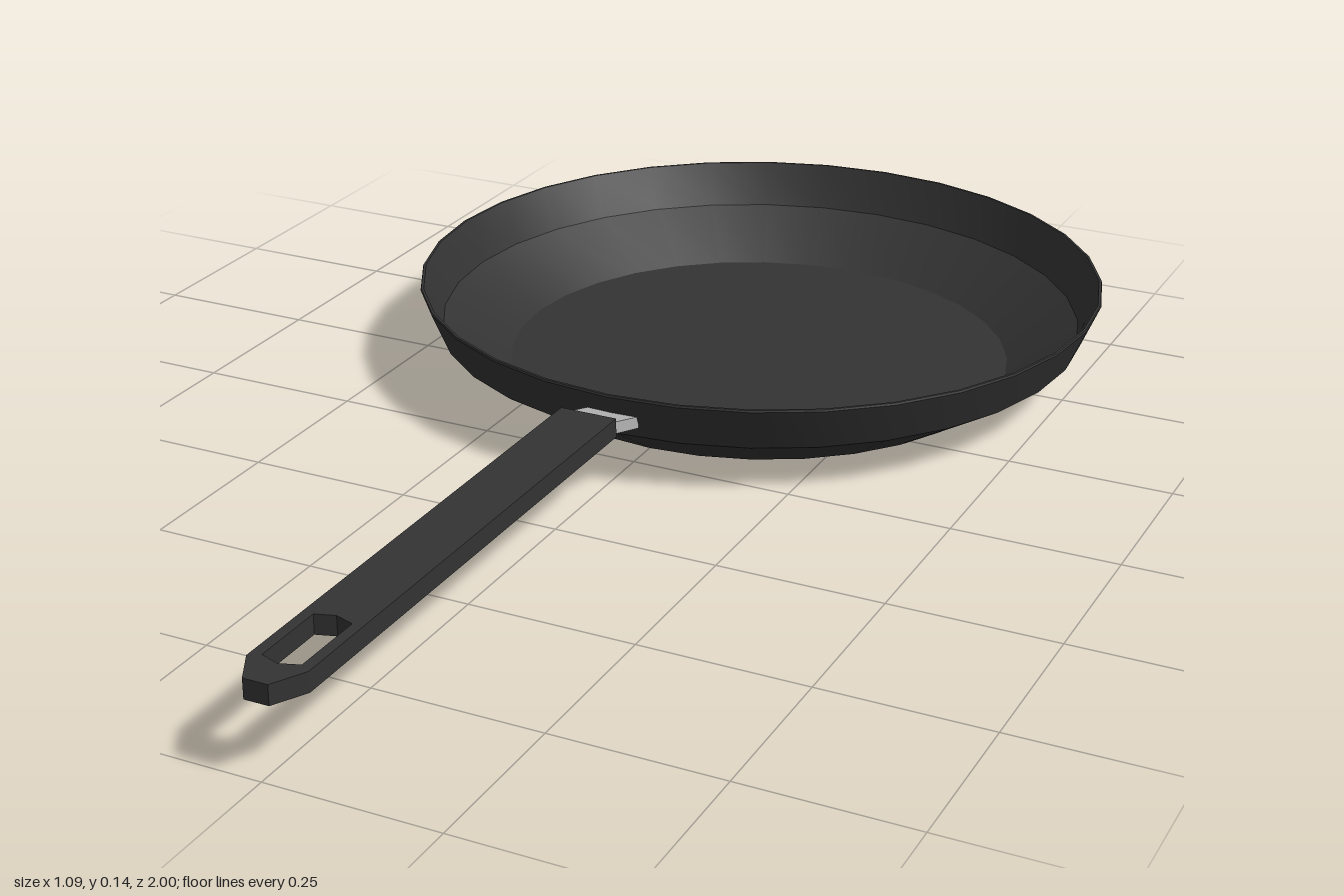
import * as THREE from 'three';
import { toCreasedNormals } from 'three/addons/utils/BufferGeometryUtils.js';

const shapeOf = (pts) => new THREE.Shape(pts.map(([x, y]) => new THREE.Vector2(x, y)));

export function createModel() {
  const black = new THREE.MeshStandardMaterial({ color: 0x333333 });
  black.name = 'blackCoating';
  const steel = new THREE.MeshStandardMaterial({ color: 0xb4b4b4 });
  steel.name = 'steel';

  const model = new THREE.Group();
  model.name = 'fryingPan';
  const add = (name, geometry, material) => {
    const mesh = new THREE.Mesh(geometry, material);
    mesh.name = name;
    model.add(mesh);
    return mesh;
  };

  // Thin-walled bowl: outside profile up to the rim, then back down the inside
  const profile = [
    [0, 0], [0.402, 0], [0.406, 0.003], [0.515, 0.071], [0.544, 0.14], [0.543, 0.143],
    [0.539, 0.143], [0.51, 0.074], [0.401, 0.006], [0, 0.006],
  ].map(([x, y]) => new THREE.Vector2(x, y));
  const bowl = add('panBowl', toCreasedNormals(new THREE.LatheGeometry(profile, 32), 0.45), black);
  bowl.position.z = -0.456;

  // Flat handle with a tapered tip and a hanging hole (shape y runs along z)
  const outline = shapeOf([
    [-0.044, 0.145], [0.044, 0.145], [0.044, 0.952], [0.018, 1], [-0.018, 1], [-0.044, 0.952],
  ]);
  outline.holes.push(shapeOf([
    [0, 0.82], [-0.028, 0.829], [-0.028, 0.942], [0, 0.952], [0.028, 0.942], [0.028, 0.829],
  ]));
  const handleGeometry = new THREE.ExtrudeGeometry(outline, { depth: 0.029, bevelEnabled: false });
  handleGeometry.rotateX(Math.PI / 2);
  add('handle', handleGeometry, black).position.y = 0.138;

  // Sloping steel bracket between bowl and handle (side section swept across x)
  const section = shapeOf([
    [0.066, 0.09], [0.15, 0.114], [0.18, 0.114], [0.18, 0.133], [0.15, 0.133], [0.066, 0.108],
  ]);
  const bracketGeometry = new THREE.ExtrudeGeometry(section, { depth: 0.08, bevelEnabled: false });
  bracketGeometry.rotateY(-Math.PI / 2);
  add('bracket', bracketGeometry, steel).position.x = 0.04;

  return model;
}
